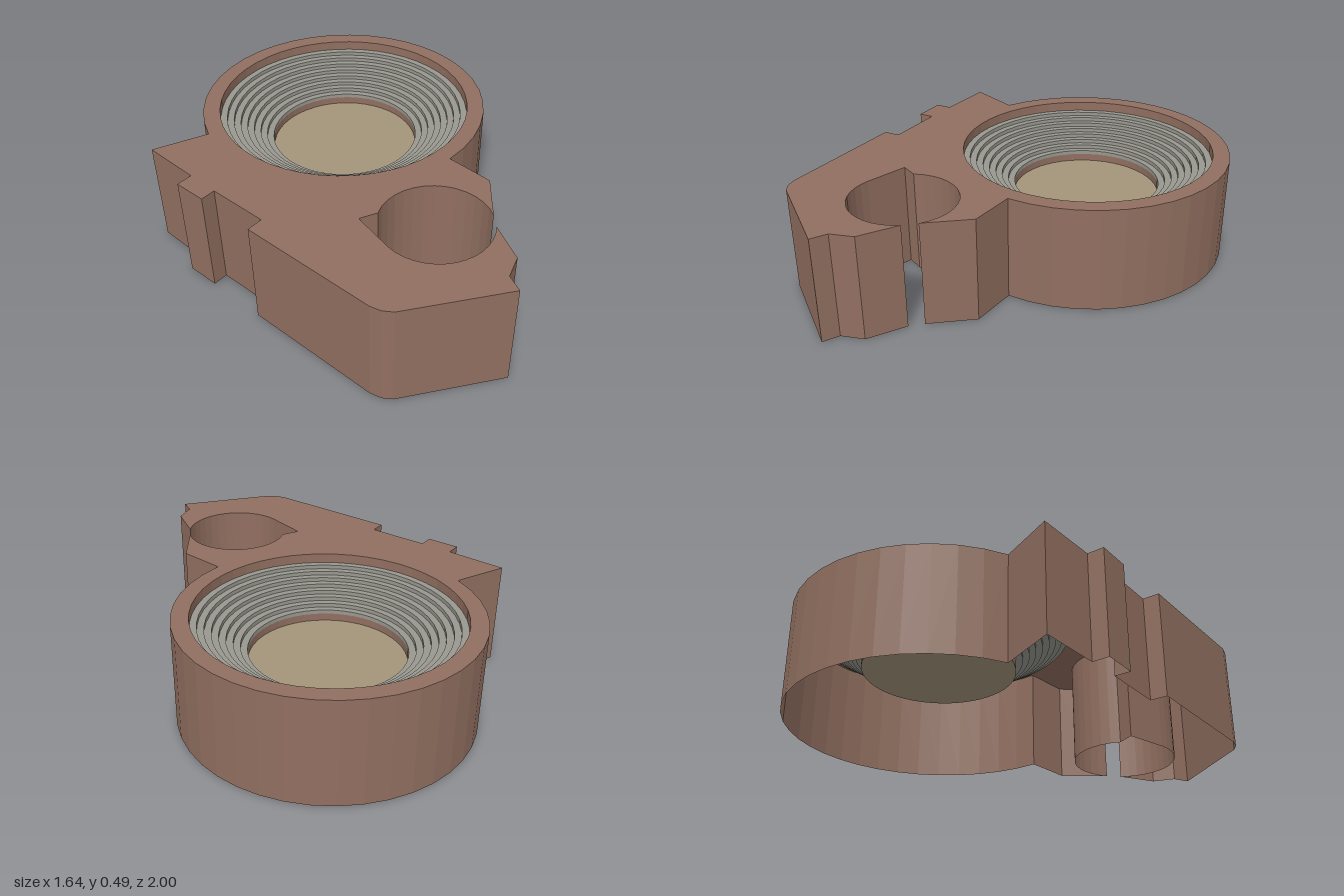
import * as THREE from 'three';

const H = 0.485;                       // body height
const CX = 0.152, CZ = -0.332;         // cup centre
const R_OUT = 0.668, R_IN = 0.59, R_DISC = 0.347;
const Y_RIM = 0.44, Y_STEP = 0.29, Y_DISC = 0.255;

const material = (name, color) => {
  const m = new THREE.MeshStandardMaterial({ color, side: THREE.DoubleSide });
  m.name = name;
  return m;
};

// Points [x, z] on a circle between two angles in degrees
function arc(cx, cz, r, from, to, n) {
  const pts = [];
  for (let i = 0; i <= n; i++) {
    const a = THREE.MathUtils.degToRad(from + (to - from) * i / n);
    pts.push([cx + r * Math.cos(a), cz + r * Math.sin(a)]);
  }
  return pts;
}

// Plan of the body: round cup, slotted clamp and notched flank
function bodyOutline() {
  return [
    [-0.685, -0.74],
    ...arc(CX, CZ, R_OUT, -153, 95.5, 28),
    [0.065, 0.555],
    ...arc(-0.302, 0.538, 0.24, 40, -114, 14),
    [-0.475, 0.28],
    ...arc(-0.302, 0.538, 0.24, -165, -303, 14),
    [-0.275, 0.9], [-0.38, 0.93], [-0.42, 1.0],
    [-0.79, 0.71], [-0.815, 0.67], [-0.825, 0.62],
    [-0.8, -0.02], [-0.725, -0.02], [-0.715, -0.305],
    [-0.785, -0.305], [-0.78, -0.46], [-0.705, -0.46],
  ];
}

// Upright faceted wall following a closed outline
function wallGeometry(outline) {
  const pos = [];
  outline.forEach(([ax, az], i) => {
    const [bx, bz] = outline[(i + 1) % outline.length];
    pos.push(ax, 0, az, ax, H, az, bx, 0, bz);
    pos.push(bx, 0, bz, ax, H, az, bx, H, bz);
  });
  const g = new THREE.BufferGeometry();
  g.setAttribute('position', new THREE.Float32BufferAttribute(pos, 3));
  g.computeVertexNormals();
  return g;
}

// Crisp revolved surface around the cup axis
function turned(profile) {
  const g = new THREE.LatheGeometry(profile.map(([r, y]) => new THREE.Vector2(r, y)), 48).toNonIndexed();
  g.computeVertexNormals();
  return g.translate(CX, 0, CZ);
}

export function createModel() {
  const model = new THREE.Group();
  model.name = 'clampedCup';
  const brown = material('brown', 0x916f60);
  const grey = material('grey', 0x98978f);
  const tan = material('tan', 0xa3957a);
  const add = (name, geometry, mat) => {
    const mesh = new THREE.Mesh(geometry, mat);
    mesh.name = name;
    model.add(mesh);
  };

  // Body shell, open underneath
  const outline = bodyOutline();
  add('bodyWall', wallGeometry(outline), brown);
  const shape = new THREE.Shape(outline.map(([x, z]) => new THREE.Vector2(x, -z)));
  shape.holes.push(new THREE.Path(arc(CX, CZ, R_IN, 0, 352.5, 47).map(([x, z]) => new THREE.Vector2(x, -z))));
  add('bodyTop', new THREE.ShapeGeometry(shape).rotateX(-Math.PI / 2).translate(0, H, 0), brown);

  // Collars above and below the stepped rings
  add('upperCollar', turned([[R_IN, Y_RIM], [R_IN, H]]), brown);
  add('lowerCollar', turned([[R_DISC, Y_DISC], [R_DISC, Y_STEP]]), brown);

  // Concentric steps descending to the disc
  const steps = 8, profile = [[R_IN, Y_RIM]];
  for (let i = 1; i <= steps; i++) {
    const r = THREE.MathUtils.lerp(R_IN, R_DISC, i / steps);
    profile.push([r, profile[profile.length - 1][1]]);
    profile.push([r, THREE.MathUtils.lerp(Y_RIM, Y_STEP, i / steps)]);
  }
  add('steppedRings', turned(profile), grey);

  // Floor disc
  add('disc', new THREE.CircleGeometry(R_DISC, 48).rotateX(-Math.PI / 2).translate(CX, Y_DISC, CZ), tan);

  return model;
}
